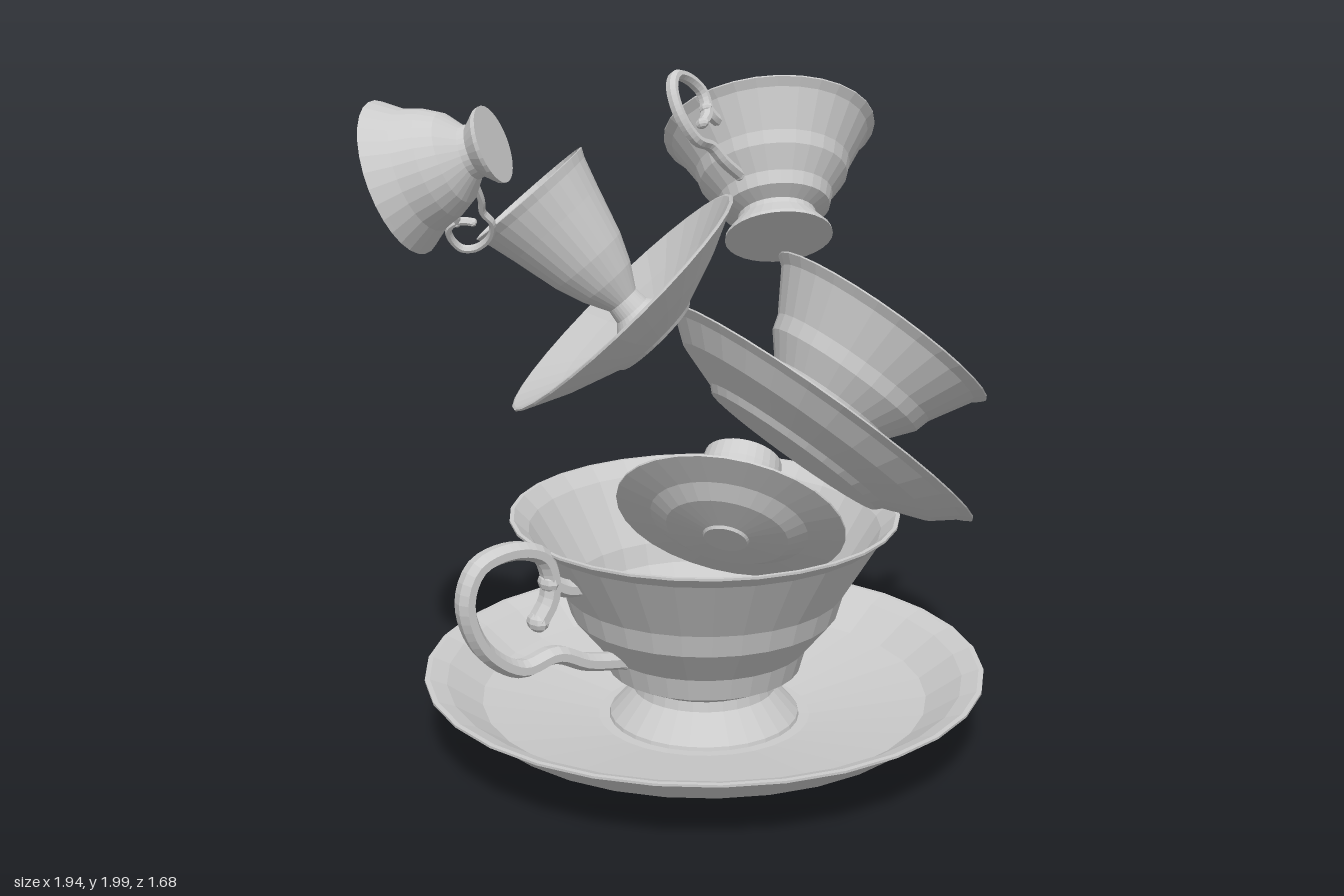
import * as THREE from 'three';

const material = new THREE.MeshStandardMaterial({ color: 0xcccccc, flatShading: true, side: THREE.DoubleSide });
const SIDES = 30;

// Profiles run up the outside and back down the inside as [radius, height].
const CUP = [[0, 0], [0.29, 0], [0.285, 0.02], [0.215, 0.1], [0.21, 0.13], [0.29, 0.17], [0.31, 0.24], [0.4, 0.35],
  [0.42, 0.42], [0.535, 0.61], [0.577, 0.645], [0.577, 0.652], [0.565, 0.652], [0.522, 0.61], [0.405, 0.42],
  [0.385, 0.355], [0.295, 0.245], [0.27, 0.185], [0.19, 0.15], [0, 0.15]];
const SAUCER = [[0, 0], [0.455, 0], [0.485, 0.03], [0.69, 0.105], [0.79, 0.185], [0.84, 0.21], [0.84, 0.217],
  [0.825, 0.217], [0.775, 0.197], [0.67, 0.125], [0.32, 0.06], [0, 0.05]];
const FLUTED_CUP = [[0, 0], [0.11, 0], [0.105, 0.012], [0.055, 0.07], [0.05, 0.11], [0.09, 0.18], [0.122, 0.26],
  [0.16, 0.4], [0.185, 0.485], [0.197, 0.51], [0.19, 0.512], [0.175, 0.48], [0.11, 0.26], [0.075, 0.19], [0, 0.18]];
const CONE_SAUCER = [[0, 0], [0.135, 0], [0.145, 0.01], [0.3, 0.07], [0.433, 0.136], [0.433, 0.142],
  [0.425, 0.143], [0.29, 0.088], [0.12, 0.03], [0, 0.03]];
const FLARED_CUP = [[0, 0], [0.106, 0], [0.104, 0.012], [0.072, 0.05], [0.075, 0.07], [0.125, 0.115], [0.15, 0.16],
  [0.17, 0.22], [0.208, 0.275], [0.215, 0.285], [0.207, 0.286], [0.16, 0.22], [0.14, 0.16], [0.11, 0.115],
  [0.06, 0.08], [0, 0.08]];
const EGG_CUP = [[0, 0], [0.055, 0], [0.05, 0.012], [0.025, 0.04], [0.035, 0.065], [0.085, 0.1], [0.112, 0.15],
  [0.115, 0.19], [0.108, 0.24], [0.1, 0.24], [0.107, 0.19], [0.1, 0.145], [0.07, 0.1], [0, 0.09]];
const STEPPED_SAUCER = [[0, 0], [0.06, 0], [0.065, 0.008], [0.17, 0.022], [0.22, 0.05], [0.32, 0.068], [0.32, 0.074],
  [0.215, 0.058], [0.165, 0.031], [0, 0.015]];

function turned(name, profile) {
  const points = profile.map(([r, y]) => new THREE.Vector2(r, y));
  const mesh = new THREE.Mesh(new THREE.LatheGeometry(points, SIDES), material);
  mesh.name = name;
  return mesh;
}

// Curled handle in the local xy plane, growing towards +x.
function handle() {
  const group = new THREE.Group();
  group.name = 'handle';
  const strokes = {
    handleLoop: [[0.606, 0.45], [0.565, 0.51], [0.56, 0.58], [0.59, 0.645], [0.69, 0.68], [0.805, 0.655],
      [0.845, 0.56], [0.796, 0.418], [0.67, 0.325], [0.55, 0.337], [0.443, 0.288], [0.3, 0.255]],
    handleTopJoint: [[0.45, 0.52], [0.51, 0.53], [0.565, 0.56]],
  };
  for (const [name, path] of Object.entries(strokes)) {
    const curve = new THREE.CatmullRomCurve3(path.map(([x, y]) => new THREE.Vector3(x, y, 0)));
    const mesh = new THREE.Mesh(new THREE.TubeGeometry(curve, path.length * 4, 0.027, 7), material);
    mesh.name = name;
    group.add(mesh);
    // Rounded tips close the tube ends
    for (const [x, y] of [path[0], path[path.length - 1]]) {
      const tip = new THREE.Mesh(new THREE.SphereGeometry(0.029, 8, 6), material);
      tip.name = 'handleTip';
      tip.position.set(x, y, 0);
      group.add(tip);
    }
  }
  group.scale.z = 1.35;
  return group;
}

function handledCup(name) {
  const group = new THREE.Group();
  group.name = name;
  group.add(turned('cupBowl', CUP), handle());
  return group;
}

// Stands an object at a point, its axis along up and its handle towards side.
function place(object, position, up, side = [1, 0, 0], scale = 1) {
  const y = new THREE.Vector3(...up).normalize();
  const x = new THREE.Vector3(...side);
  x.addScaledVector(y, -x.dot(y)).normalize();
  const z = new THREE.Vector3().crossVectors(x, y);
  object.quaternion.setFromRotationMatrix(new THREE.Matrix4().makeBasis(x, y, z));
  object.position.set(...position);
  object.scale.setScalar(scale);
  return object;
}

function cupOnSaucer(name) {
  const group = new THREE.Group();
  group.name = name;
  const cup = handledCup('cup');
  cup.position.y = 0.05;
  group.add(turned('saucer', SAUCER), cup);
  return group;
}

export function createModel() {
  const model = new THREE.Group();
  model.name = 'teacupStack';

  // Large cup and saucer at the base
  model.add(place(cupOnSaucer('largeCupAndSaucer'), [0.055, 0, 0], [0, 1, 0], [-1, 0, 0]));

  // Tipping cup and saucer on the left side
  model.add(place(cupOnSaucer('tippingCupAndSaucer'), [0.267, 0.882, 0.152], [0.635, 0.76, 0.14],
    [0.81, -0.47, -0.35], 0.648));

  // Upper cup balanced on its foot
  model.add(place(handledCup('upperCup'), [0.324, 1.494, 0.012], [0.34, 0.775, -0.53], [-0.42, 0.19, 0.06], 0.548));

  // Tall tapered cup on a conical saucer
  model.add(place(turned('conicalSaucer', CONE_SAUCER), [-0.113, 1.258, -0.016], [-0.53, 0.723, -0.44]));
  model.add(place(turned('taperedCup', FLUTED_CUP), [-0.13, 1.28, -0.03], [-0.475, 0.755, -0.45]));

  // Flared cup hooked by its handle on the tapered cup
  const hooked = new THREE.Group();
  hooked.name = 'hookedCup';
  const hook = handle();
  hook.scale.set(0.373, 0.373, 0.5);
  hook.position.y = 0.02;
  hooked.add(turned('flaredBowl', FLARED_CUP), hook);
  model.add(place(hooked, [-0.64, 1.86, -0.03], [-0.56, -0.35, -0.75], [0.18, -0.24, -0.05]));

  // Small egg-shaped cup and stepped saucer resting in the large cup
  const small = new THREE.Group();
  small.name = 'smallCupAndSaucer';
  const egg = turned('smallCup', EGG_CUP);
  egg.position.y = 0.02;
  small.add(turned('smallSaucer', STEPPED_SAUCER), egg);
  model.add(place(small, [-0.23, 0.795, 0.44], [0.61, 0.66, -0.44]));

  return model;
}
